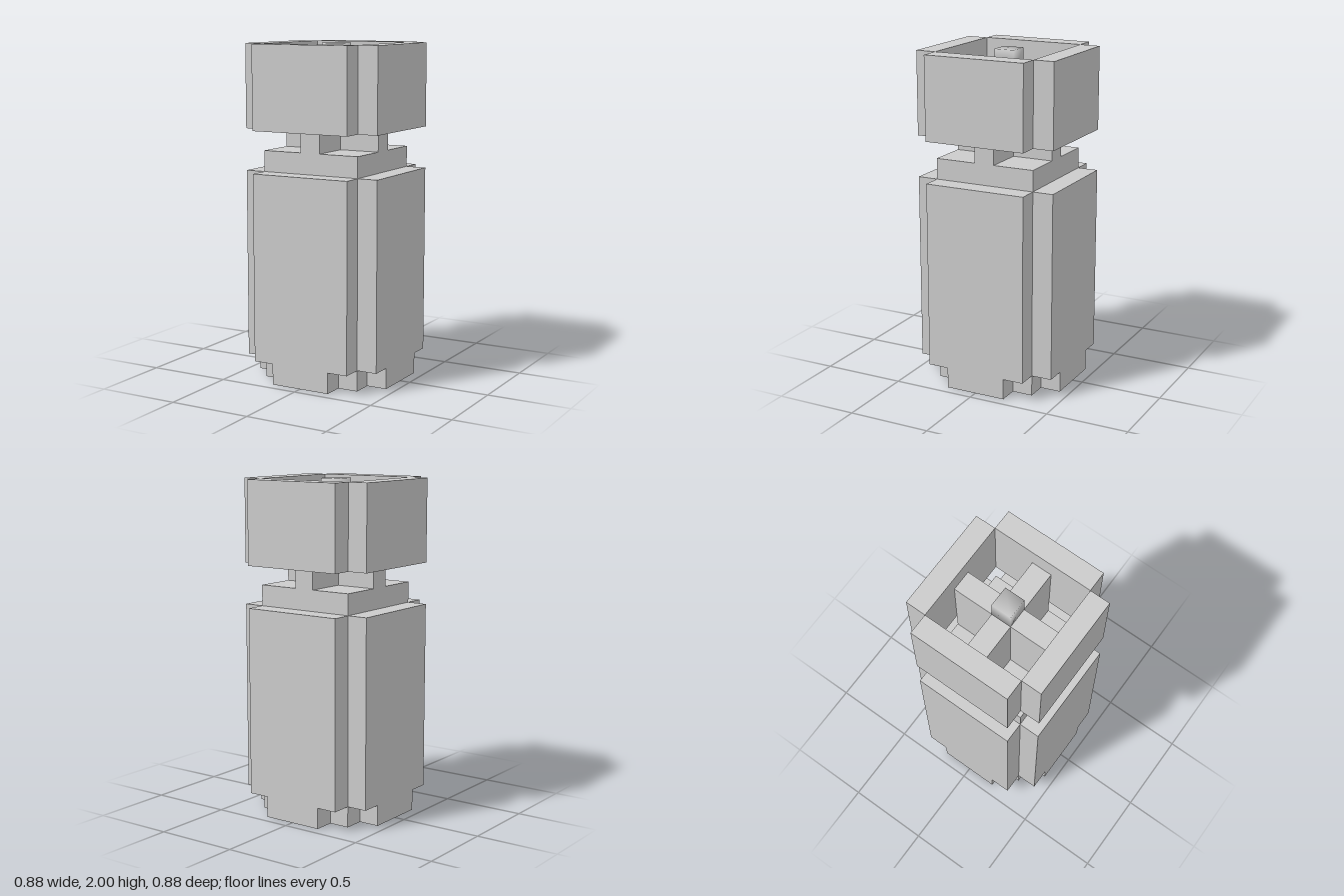
import * as THREE from 'three';
import { mergeVertices } from 'three/addons/utils/BufferGeometryUtils.js';

const U = 0.125; // one block

export function createModel() {
  const group = new THREE.Group();
  const material = new THREE.MeshStandardMaterial({ color: 0xcccccc });

  const add = (name, geometry, parent = group) => {
    const mesh = new THREE.Mesh(geometry, material);
    mesh.name = name;
    parent.add(mesh);
    return mesh;
  };

  // Upright prism: one corner of the outline, turned four times (in blocks)
  const prism = (name, corner, y0, y1) => {
    const points = [];
    for (let turn = 0; turn < 4; turn++) {
      for (const [x, y] of corner) {
        const [a, b] = [[x, y], [-y, x], [-x, -y], [y, -x]][turn];
        points.push(new THREE.Vector2(a * U, b * U));
      }
    }
    const geometry = new THREE.ExtrudeGeometry(new THREE.Shape(points), {
      depth: (y1 - y0) * U, bevelEnabled: false,
    });
    geometry.rotateX(-Math.PI / 2).translate(0, y0 * U, 0);
    return add(name, geometry);
  };

  // Stepped foot, tall body and square neck
  prism('base', [[3.5, 1.5], [2.5, 1.5], [2.5, 2.5], [1.5, 2.5], [1.5, 3.5]], 0, 1);
  prism('body', [[3.5, 2.5], [2.5, 2.5], [2.5, 3.5]], 1, 10);
  prism('neck', [[2.5, 2.5]], 10, 11);

  // Crossed fins that rise from the neck into the open collar
  prism('crossFins', [[2.5, 0.5], [0.5, 0.5], [0.5, 2.5]], 11, 15);

  // Open collar of four walls that meet only along their edges
  const collar = new THREE.Group();
  collar.name = 'collar';
  group.add(collar);
  for (let i = 0; i < 4; i++) {
    const wall = new THREE.BoxGeometry(5 * U, 4 * U, U);
    wall.translate(0, 14 * U, 3 * U).rotateY(i * Math.PI / 2);
    add('collarWall', wall, collar);
  }

  // Small smooth-shaded block on top of the fins
  let tip = new THREE.BoxGeometry(U, U, U);
  tip.deleteAttribute('uv');
  tip.deleteAttribute('normal');
  tip = mergeVertices(tip);
  tip.computeVertexNormals();
  tip.translate(0, 15.5 * U, 0);
  add('tip', tip);

  return group;
}
